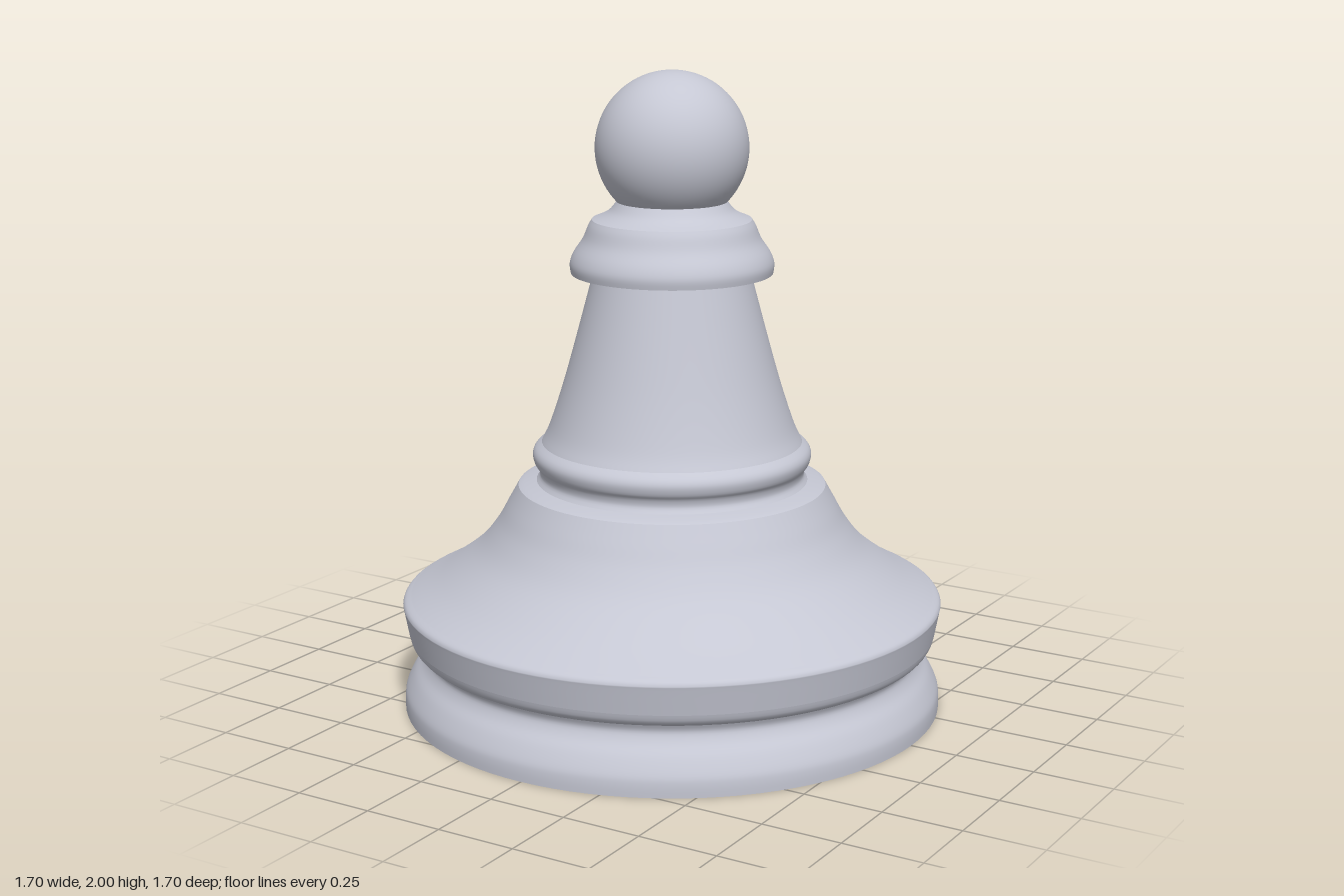
import * as THREE from 'three';

const SEGMENTS = 96;

export function createModel() {
  const group = new THREE.Group();
  group.name = 'pawn';
  const stone = new THREE.MeshStandardMaterial({ color: 0xc5c7d3 });
  stone.name = 'pale grey';

  // Turns a profile of [radius, height] points; steps > 0 smooths it with a spline.
  function turned(name, profile, steps = 0) {
    let points = profile.map(([r, y]) => new THREE.Vector2(r, y));
    if (steps) points = new THREE.SplineCurve(points).getPoints(steps);
    const mesh = new THREE.Mesh(new THREE.LatheGeometry(points, SEGMENTS), stone);
    mesh.name = name;
    group.add(mesh);
  }

  // Flat underside and flared foot
  turned('underside', [[0, 0], [0.85, 0]]);
  turned('foot', [[0.85, 0], [0.85, 0.035], [0.844, 0.065], [0.82, 0.11],
    [0.793, 0.145], [0.781, 0.175], [0.79, 0.2]], 24);

  // Wide band above the groove
  turned('bandUnderside', [[0.785, 0.198], [0.808, 0.206], [0.825, 0.222], [0.833, 0.245]], 8);
  turned('band', [[0.833, 0.245], [0.848, 0.325], [0.85, 0.338], [0.843, 0.35], [0.825, 0.36]], 12);

  // Concave bell and its flat top ledge
  turned('bell', [[0.825, 0.36], [0.73, 0.415], [0.62, 0.5], [0.555, 0.58],
    [0.515, 0.65], [0.482, 0.709]], 24);
  turned('bellLedge', [[0.482, 0.709], [0.465, 0.716], [0.425, 0.724]]);

  // Rounded ring at the bottom of the stem
  turned('stemRing', [[0.425, 0.724], [0.414, 0.742], [0.418, 0.765], [0.43, 0.782],
    [0.436, 0.808], [0.428, 0.829], [0.407, 0.847]], 20);

  // Tapered stem
  turned('stem', [[0.407, 0.847], [0.382, 0.9], [0.342, 1.02], [0.302, 1.16],
    [0.243, 1.38]], 20);

  // Collar under the head
  turned('collarUnderside', [[0.22, 1.38], [0.312, 1.38]]);
  turned('collar', [[0.312, 1.38], [0.315, 1.41], [0.303, 1.443], [0.275, 1.485],
    [0.258, 1.525], [0.246, 1.545]], 20);
  turned('collarTop', [[0.246, 1.545], [0.215, 1.558], [0.19, 1.575], [0.168, 1.603]], 12);

  // Ball head
  const head = new THREE.Mesh(new THREE.SphereGeometry(0.236, 64, 40), stone);
  head.name = 'head';
  head.position.y = 1.764;
  group.add(head);

  return group;
}
